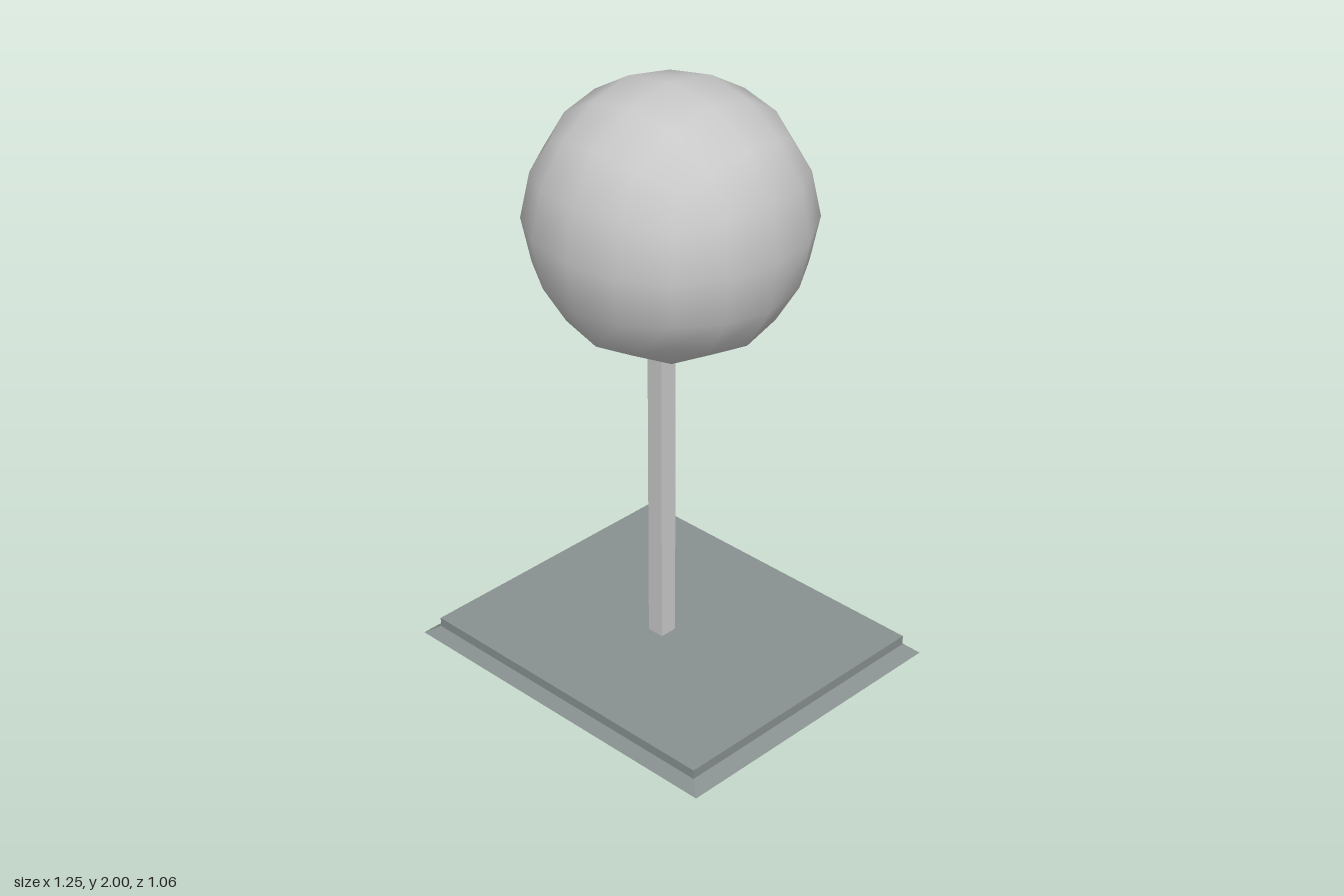
import * as THREE from 'three';
import { mergeVertices } from 'three/addons/utils/BufferGeometryUtils.js';

// Rounded cube: a 4x4x4 box whose points move to subdivided positions,
// looked up by their sorted absolute grid coordinates (0, 1 or 2).
const ROUND = {
  '200': [0.437, 0, 0], '210': [0.408, 0.174, 0], '220': [0.32, 0.32, 0],
  '211': [0.38, 0.162, 0.162], '221': [0.298, 0.298, 0.15], '222': [0.253, 0.253, 0.253],
};

function ballGeometry() {
  let geo = new THREE.BoxGeometry(4, 4, 4, 4, 4, 4);
  geo.deleteAttribute('uv');
  geo.deleteAttribute('normal');
  geo = mergeVertices(geo);
  const pos = geo.attributes.position;
  for (let i = 0; i < pos.count; i++) {
    const p = [pos.getX(i), pos.getY(i), pos.getZ(i)].map(Math.round);
    const sorted = p.map(Math.abs).sort((a, b) => b - a);
    const target = ROUND[sorted.join('')];
    const q = p.map((v) => Math.sign(v) * target[sorted.indexOf(Math.abs(v))]);
    pos.setXYZ(i, ...q);
  }
  geo.computeVertexNormals();
  return geo;
}

// Box whose top face is narrowed to the given size
function taperedBox(w, h, d, topW, topD) {
  const geo = new THREE.BoxGeometry(w, h, d).toNonIndexed();
  const pos = geo.attributes.position;
  for (let i = 0; i < pos.count; i++) {
    if (pos.getY(i) > 0) {
      pos.setX(i, Math.sign(pos.getX(i)) * topW / 2);
      pos.setZ(i, Math.sign(pos.getZ(i)) * topD / 2);
    }
  }
  geo.computeVertexNormals();
  return geo;
}

export function createModel() {
  const group = new THREE.Group();
  const paleGrey = new THREE.MeshStandardMaterial({ color: 0xc8c8c8 });
  paleGrey.name = 'pale grey';
  const slate = new THREE.MeshStandardMaterial({ color: 0x889090 });
  slate.name = 'slate grey';

  const add = (name, geo, mat, x, y, z) => {
    const mesh = new THREE.Mesh(geo, mat);
    mesh.name = name;
    mesh.position.set(x, y, z);
    group.add(mesh);
  };

  // Base: sloping skirt with a slab rising from it
  add('baseSkirt', taperedBox(1.248, 0.03, 1.057, 1.158, 0.986), slate, 0, 0.015, 0);
  add('baseSlab', new THREE.BoxGeometry(1.158, 0.034, 0.986), slate, 0, 0.045, 0);

  // Slightly off-centre square post running into the ball
  add('post', new THREE.BoxGeometry(0.06, 1.14, 0.062), paleGrey, -0.013, 0.63, 0.027);

  add('ball', ballGeometry(), paleGrey, 0, 1.563, 0);
  return group;
}
